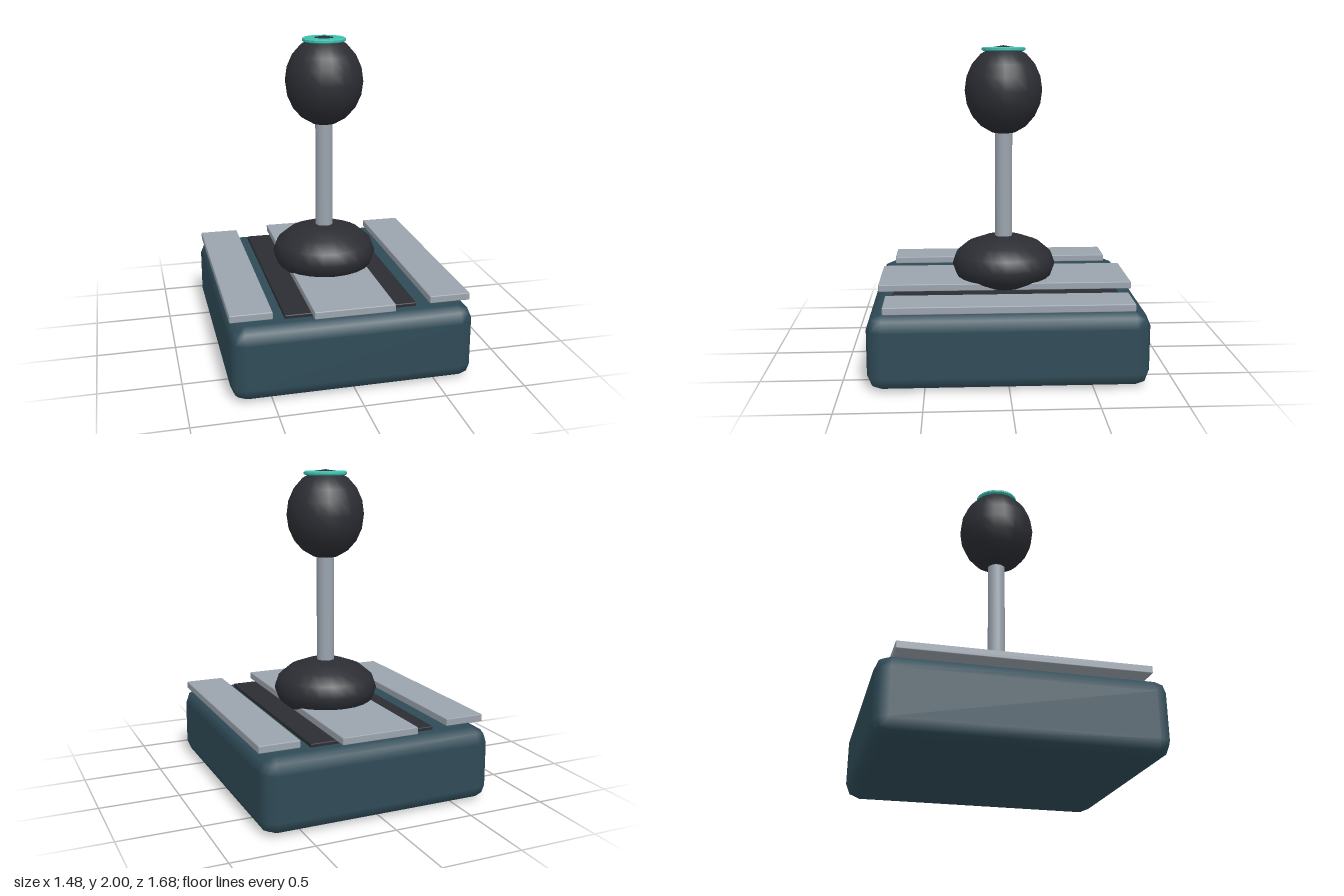
import * as THREE from 'three';
import { RoundedBoxGeometry } from 'three/addons/geometries/RoundedBoxGeometry.js';

const paint = (color) => new THREE.MeshStandardMaterial({ color });

export function createModel() {
  const group = new THREE.Group();
  const teal = paint(0x3cc0b0);
  const black = paint(0x2b2d33);
  const steel = paint(0x9aa3ad);
  const shell = paint(0x2f4b57);

  const add = (name, geometry, material, x, y, z = 0) => {
    const mesh = new THREE.Mesh(geometry, material);
    mesh.name = name;
    mesh.position.set(x, y, z);
    group.add(mesh);
    return mesh;
  };

  // Rounded-edge plate given by its bottom and top heights
  const plate = (name, material, x, width, depth, bottom, top, radius) =>
    add(name, new RoundedBoxGeometry(width, top - bottom, depth, 1, radius),
      material, x, (bottom + top) / 2);

  // Base housing and the plates on its top
  plate('base', shell, 0, 1.48, 1.68, 0, 0.457, 0.09);
  plate('recessPanel', black, 0, 0.806, 1.41, 0.43, 0.478, 0.006);
  plate('centrePlate', steel, 0, 0.49, 1.6, 0.476, 0.522, 0.006);
  for (const [name, side] of [['leftPlate', 1], ['rightPlate', -1]]) {
    plate(name, steel, side * 0.605, 0.254, 1.475, 0.476, 0.522, 0.006);
  }

  // Squashed boot around the foot of the stick
  add('boot', new THREE.SphereGeometry(0.333, 24, 8), black, 0, 0.6).scale.y = 0.563;

  // Stick and egg-shaped grip
  add('shaft', new THREE.CylinderGeometry(0.056, 0.056, 0.9, 16), steel, 0, 1.1);
  add('grip', new THREE.SphereGeometry(0.246, 20, 10), black, 0, 1.72).scale.y = 1.138;

  // Flat chamfered ring around the tip of the grip
  const profile = [[0.05, -0.012], [0.128, -0.012], [0.137, -0.006],
    [0.137, 0.006], [0.128, 0.012], [0.05, 0.012]]
    .map(([r, y]) => new THREE.Vector2(r, y));
  const ring = new THREE.LatheGeometry(profile, 20).toNonIndexed();
  ring.computeVertexNormals();
  add('buttonRing', ring, teal, 0, 1.977);

  return group;
}
